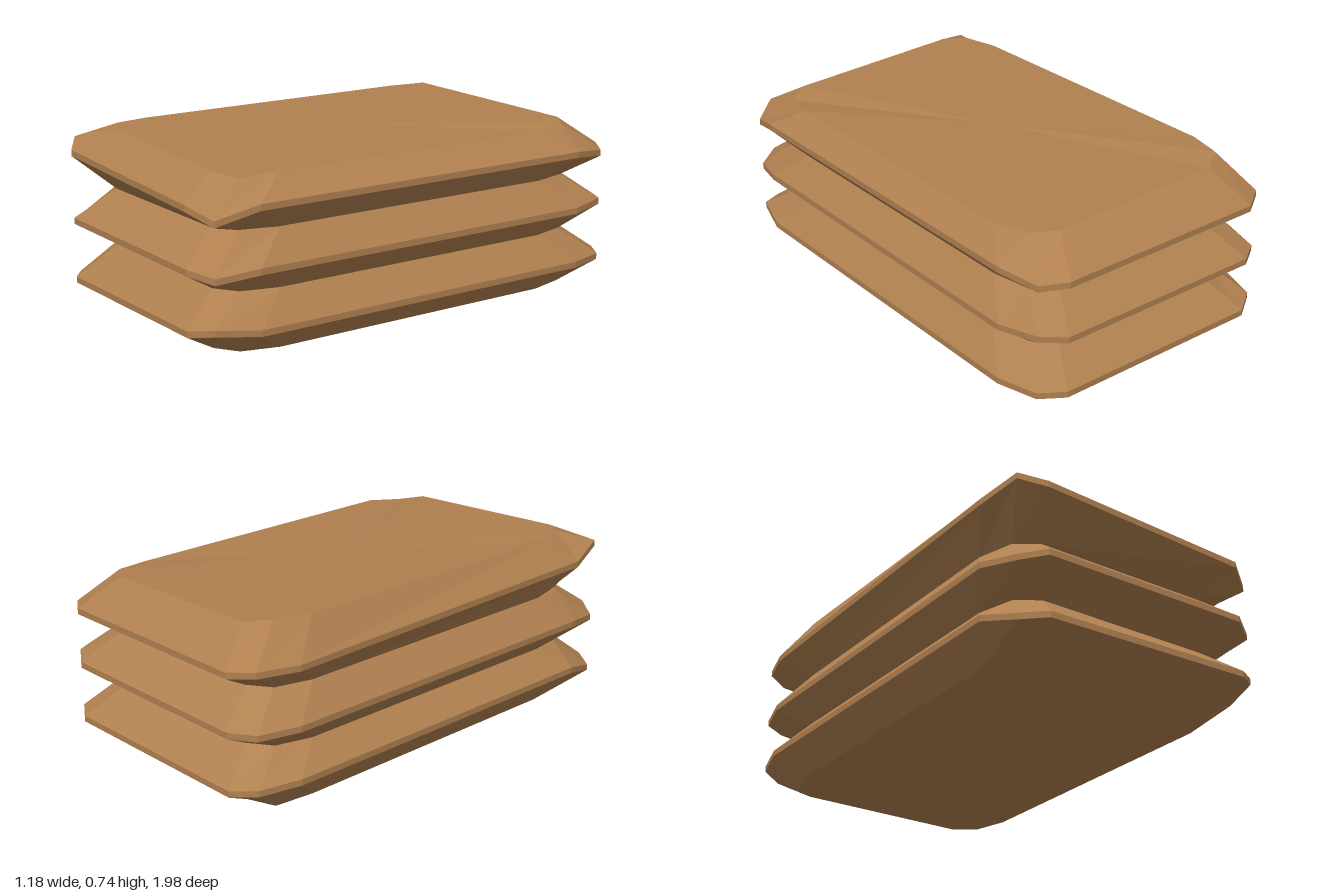
import * as THREE from 'three';

// One quarter of each outline; the other corners are mirrored from it
const INNER = [[0.37, 0.84], [0.46, 0.78], [0.5, 0.63]];
const OUTER = [[0.45, 0.992], [0.545, 0.93], [0.592, 0.765]];
const RIM = 0.025;

// Full outline, running front right, back right, back left, front left
function outline(quarter) {
  const back = [...quarter].reverse();
  return [
    ...quarter,
    ...back.map(([x, z]) => [x, -z]),
    ...quarter.map(([x, z]) => [-x, -z]),
    ...back.map(([x, z]) => [-x, z]),
  ];
}

// Places an outline at a single height or at one height per corner point
function ring(points, heights) {
  return points.map(([x, z], i) => new THREE.Vector3(x, Array.isArray(heights) ? heights[i] : heights, z));
}

// Joins rings from bottom to top and closes both ends with fans
function loft(rings) {
  const n = rings[0].length;
  const verts = [];
  const tri = (...pts) => pts.forEach((p) => verts.push(p.x, p.y, p.z));
  for (let r = 0; r < rings.length - 1; r++) {
    const lo = rings[r], hi = rings[r + 1];
    for (let i = 0; i < n; i++) {
      const j = (i + 1) % n;
      tri(lo[i], lo[j], hi[j]);
      tri(lo[i], hi[j], hi[i]);
    }
  }
  const centre = (pts) => pts.reduce((s, p) => s.add(p), new THREE.Vector3()).divideScalar(n);
  const bottom = rings[0], top = rings[rings.length - 1];
  const cb = centre(bottom), ct = centre(top);
  for (let i = 0; i < n; i++) {
    const j = (i + 1) % n;
    tri(cb, bottom[j], bottom[i]);
    tri(ct, top[i], top[j]);
  }
  const geometry = new THREE.BufferGeometry();
  geometry.setAttribute('position', new THREE.Float32BufferAttribute(verts, 3));
  geometry.computeVertexNormals();
  return geometry;
}

// Heights of each slab: underside, lower rim edge, top face
const SLABS = [
  {
    name: 'bottomSlab',
    base: [0.015, 0.015, 0.015, 0.015, 0.015, 0.015, 0.015, 0, 0.015, 0.015, 0.015, 0.015],
    rim: [0.105, 0.122, 0.105, 0.105, 0.105, 0.105, 0.105, 0.12, 0.127, 0.127, 0.08, 0.09],
    top: 0.245,
  },
  {
    name: 'middleSlab',
    base: 0.245,
    rim: [0.335, 0.312, 0.335, 0.335, 0.345, 0.335, 0.335, 0.335, 0.338, 0.338, 0.312, 0.335],
    top: 0.475,
  },
  {
    name: 'topSlab',
    base: 0.475,
    rim: [0.57, 0.522, 0.57, 0.57, 0.55, 0.56, 0.565, 0.575, 0.572, 0.6, 0.645, 0.612],
    top: [0.685, 0.665, 0.68, 0.68, 0.692, 0.698, 0.715, 0.735, 0.73, 0.72, 0.722, 0.718],
  },
];

export function createModel() {
  const group = new THREE.Group();
  const wood = new THREE.MeshStandardMaterial({ color: 0xb08050, flatShading: true });
  const inner = outline(INNER), outer = outline(OUTER);

  // Slabs with bevelled faces and a thin, uneven rim, stacked on each other
  for (const { name, base, rim, top } of SLABS) {
    const slab = new THREE.Mesh(
      loft([
        ring(inner, base),
        ring(outer, rim),
        ring(outer, rim.map((h) => h + RIM)),
        ring(inner, top),
      ]),
      wood
    );
    slab.name = name;
    group.add(slab);
  }
  return group;
}
